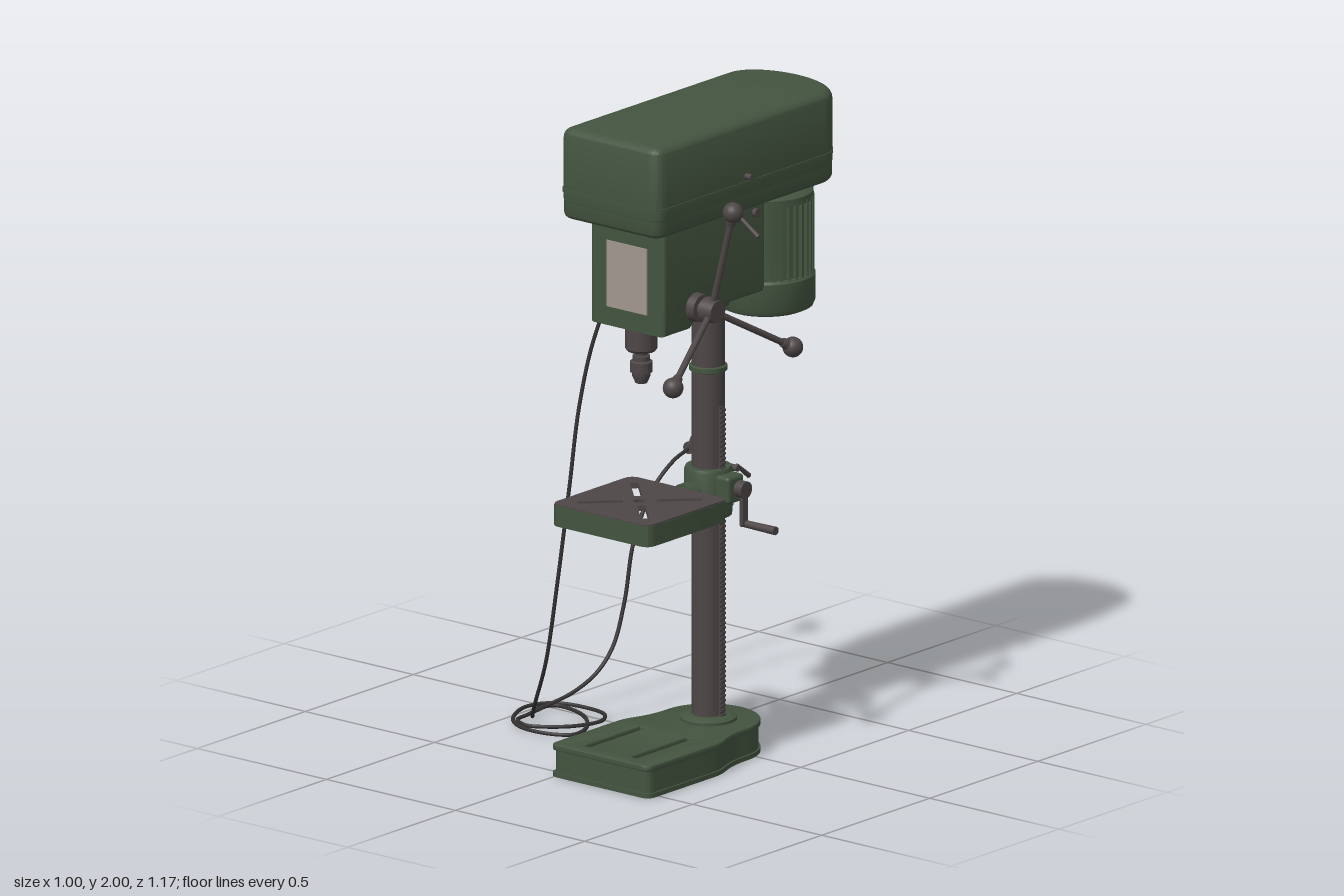
import * as THREE from 'three';
import { toCreasedNormals } from 'three/addons/utils/BufferGeometryUtils.js';
import { RoundedBoxGeometry } from 'three/addons/geometries/RoundedBoxGeometry.js';

const mat = (name, color) => Object.assign(new THREE.MeshStandardMaterial({ color }), { name });
const V = (x, y, z) => new THREE.Vector3(x, y, z);
const CX = 0.18; // machine centre line
const COL_Z = 0.045; // column axis

export function createModel() {
  const root = new THREE.Group();
  root.name = 'drillPress';
  const green = mat('green paint', 0x43543f);
  const steel = mat('dark steel', 0x4d4646);
  const rubber = mat('black rubber', 0x343131);
  const plateGrey = mat('label grey', 0xa1978f);

  const add = (name, geo, material, x = 0, y = 0, z = 0) => {
    const m = new THREE.Mesh(geo, material);
    m.name = name;
    m.position.set(x, y, z);
    root.add(m);
    return m;
  };
  const box = (name, material, w, h, d, x, y, z, r = 0) => add(name,
    r ? new RoundedBoxGeometry(w, h, d, 3, r) : new THREE.BoxGeometry(w, h, d), material, x, y, z);
  // cylinder between two points, r0 at the start and r1 at the end
  const rod = (name, material, a, b, r0, r1 = r0, sides = 24) => {
    const d = b.clone().sub(a);
    const m = add(name, new THREE.CylinderGeometry(r1, r0, d.length(), sides), material);
    m.position.copy(a).addScaledVector(d, 0.5);
    m.quaternion.setFromUnitVectors(V(0, 1, 0), d.normalize());
    return m;
  };
  // upright turned part from [radius, y] pairs
  const turned = (name, material, pts, z) => add(name, toCreasedNormals(
    new THREE.LatheGeometry(pts.map(p => new THREE.Vector2(...p)), 40), 0.6), material, CX, 0, z);
  // plan outline (x, z) extruded between two heights
  const slab = (name, material, shape, y0, y1, bevel = 0) => {
    const g = new THREE.ExtrudeGeometry(shape, {
      depth: y1 - y0 - 2 * bevel, bevelEnabled: bevel > 0, bevelSize: bevel,
      bevelThickness: bevel, bevelOffset: -bevel, bevelSegments: 5, curveSegments: 20,
    });
    g.rotateX(Math.PI / 2);
    return add(name, toCreasedNormals(g, 0.6), material, CX, y1 - bevel, 0);
  };
  const roundRect = (w, z0, z1, r, S = THREE.Shape) => {
    const s = new S();
    s.moveTo(-w, z0 + r).lineTo(-w, z1 - r).quadraticCurveTo(-w, z1, -w + r, z1)
      .lineTo(w - r, z1).quadraticCurveTo(w, z1, w, z1 - r)
      .lineTo(w, z0 + r).quadraticCurveTo(w, z0, w - r, z0)
      .lineTo(-w + r, z0).quadraticCurveTo(-w, z0, -w, z0 + r);
    return s;
  };
  const hole = pts => new THREE.Path(pts.map(p => new THREE.Vector2(...p)));

  // base with a round foot behind, lips and two slots
  const baseShape = (o = 0) => {
    const w = 0.192 - o, f = 0.55 - o, s = new THREE.Shape();
    s.moveTo(-w, 0.25).lineTo(-w, f - 0.03).quadraticCurveTo(-w, f, -w + 0.03, f)
      .lineTo(w - 0.03, f).quadraticCurveTo(w, f, w, f - 0.03).lineTo(w, 0.25)
      .bezierCurveTo(w, 0.17, 0.155 - o, 0.17, 0.155 - o, COL_Z)
      .absarc(0, COL_Z, 0.155 - o, 0, Math.PI, true)
      .bezierCurveTo(-0.155 + o, 0.17, -w, 0.17, -w, 0.25);
    return s;
  };
  slab('baseFoot', green, baseShape(), 0, 0.014);
  slab('baseBody', green, baseShape(0.006), 0.01, 0.085);
  const baseTop = baseShape();
  for (const x of [-0.09, 0.09]) {
    baseTop.holes.push(hole([[x - 0.012, 0.24], [x + 0.012, 0.24], [x + 0.012, 0.5], [x - 0.012, 0.5]]));
  }
  slab('baseTop', green, baseTop, 0.082, 0.1, 0.003);
  turned('columnFlange', green, [[0.085, 0.09], [0.085, 0.108], [0.068, 0.118], [0.05, 0.118]], COL_Z);

  // column and rack
  rod('column', steel, V(CX, 0.09, COL_Z), V(CX, 1.72, COL_Z), 0.05, 0.05, 40);
  box('rack', steel, 0.01, 0.97, 0.022, CX + 0.05, 0.59, COL_Z);
  for (let i = 0; i < 64; i++) box('rackTooth', steel, 0.008, 0.007, 0.022, CX + 0.056, 0.12 + i * 0.015, COL_Z);
  turned('rackRing', green, [[0.05, 1.18], [0.057, 1.183], [0.057, 1.197], [0.05, 1.2]], COL_Z);
  turned('columnSocket', green, [[0.05, 1.385], [0.062, 1.385], [0.065, 1.395], [0.065, 1.45]], COL_Z);

  // work table: green rim with an open underside, steel top with cross slots
  const rim = roundRect(0.19, 0.175, 0.55, 0.035);
  rim.holes.push(roundRect(0.174, 0.191, 0.534, 0.025, THREE.Path));
  slab('tableRim', green, rim, 0.778, 0.842);
  const tableTop = roundRect(0.188, 0.177, 0.548, 0.034), tz = 0.3625;
  for (let i = 0; i < 4; i++) {
    const a = Math.PI / 4 + i * Math.PI / 2, c = Math.cos(a), s = Math.sin(a), w = 0.012;
    tableTop.holes.push(hole([[0.05, -w], [0.185, -w], [0.185, w], [0.05, w]]
      .map(([u, v]) => [u * c - v * s, tz + u * s + v * c])));
  }
  tableTop.holes.push(new THREE.Path().absarc(0, tz, 0.018, 0, Math.PI * 2));
  slab('tableTop', steel, tableTop, 0.83, 0.846);
  rod('tablePivot', green, V(CX, 0.81, 0.09), V(CX, 0.81, 0.19), 0.034);
  rod('tablePivotFlange', green, V(CX, 0.81, 0.135), V(CX, 0.81, 0.165), 0.042);

  // table bracket, crank and clamp lever
  turned('bracket', green, [[0.05, 0.735], [0.07, 0.735], [0.072, 0.745], [0.072, 0.875], [0.068, 0.885], [0.05, 0.885]], COL_Z);
  box('bracketClamp', green, 0.06, 0.13, 0.05, CX, 0.81, -0.015, 0.006);
  box('gearHousing', green, 0.07, 0.085, 0.075, CX + 0.075, 0.83, COL_Z, 0.012);
  rod('crankShaft', steel, V(0.26, 0.835, COL_Z), V(0.325, 0.835, COL_Z), 0.014);
  rod('crankHub', steel, V(0.3, 0.835, COL_Z), V(0.328, 0.835, COL_Z), 0.026);
  box('crankArm', steel, 0.014, 0.12, 0.03, 0.315, 0.78, 0.042, 0.006);
  rod('crankHandle', steel, V(0.305, 0.727, 0.037), V(0.435, 0.727, 0.037), 0.011, 0.013);
  rod('clampBolt', steel, V(0.12, 0.87, -0.022), V(0.24, 0.87, -0.022), 0.01);
  rod('clampLever', steel, V(0.235, 0.88, -0.02), V(0.235, 0.835, -0.077), 0.006, 0.008);

  // head casting, extruded across from its side profile
  const side = new THREE.Shape([[-0.42, 1.73], [-0.42, 1.39], [-0.295, 1.39], [-0.25, 1.43],
    [0.045, 1.43], [0.05, 1.45], [0.05, 1.73]].map(p => new THREE.Vector2(...p)));
  const headGeo = new THREE.ExtrudeGeometry(side, { depth: 0.261, bevelSize: 0.012, bevelThickness: 0.012, bevelOffset: -0.012, bevelSegments: 4 });
  headGeo.rotateY(Math.PI / 2);
  add('head', toCreasedNormals(headGeo, 0.6), green, 0.049, 0, 0);
  box('labelPlate', plateGrey, 0.155, 0.205, 0.006, CX, 1.552, 0.421);

  // belt cover with rounded rear
  const coverShape = (o = 0) => {
    const w = 0.195 - o, f = 0.51 - o, b = -0.395 + o, r = 0.045, s = new THREE.Shape();
    s.moveTo(-w, -0.26).lineTo(-w, f - r).quadraticCurveTo(-w, f, -w + r, f)
      .lineTo(w - r, f).quadraticCurveTo(w, f, w, f - r).lineTo(w, -0.26)
      .bezierCurveTo(w, -0.35, 0.09, b, 0, b).bezierCurveTo(-0.09, b, -w, -0.35, -w, -0.26);
    return s;
  };
  slab('coverLid', green, coverShape(0.002), 1.75, 2.0, 0.03);
  slab('coverTray', green, coverShape(0.003), 1.72, 1.85, 0.02);
  slab('coverSeam', green, coverShape(-0.001), 1.803, 1.814);
  rod('coverKnob', steel, V(0.37, 1.83, 0.1), V(0.396, 1.83, 0.1), 0.009);

  // motor with cooling fins
  const mz = -0.22;
  turned('motorCore', green, [[0, 1.4], [0.13, 1.4], [0.13, 1.67], [0.115, 1.69], [0, 1.69]], mz);
  turned('motorCap', green, [[0, 1.32], [0.125, 1.32], [0.142, 1.328], [0.149, 1.345], [0.149, 1.425], [0.143, 1.432], [0.1, 1.432]], mz);
  turned('motorTopFlange', green, [[0.125, 1.655], [0.143, 1.66], [0.143, 1.682], [0.13, 1.69], [0.1, 1.69]], mz);
  rod('motorShaft', steel, V(CX, 1.68, mz), V(CX, 1.74, mz), 0.03);
  for (let i = 0; i < 36; i++) {
    const a = i / 36 * Math.PI * 2;
    box('motorFin', green, 0.007, 0.235, 0.024, CX + Math.sin(a) * 0.133, 1.55, mz + Math.cos(a) * 0.133).rotation.y = a;
  }
  box('motorRearPad', green, 0.1, 0.23, 0.02, CX, 1.565, -0.375, 0.005);
  for (const y of [1.5, 1.63]) box('motorMount', green, 0.15, 0.035, 0.06, CX, y, -0.065, 0.004);
  box('terminalBox', green, 0.05, 0.12, 0.1, 0.035, 1.56, mz, 0.01);

  // switch and return spring cap
  box('switchPlate', steel, 0.028, 0.15, 0.085, 0.024, 1.63, 0.27, 0.006);
  for (const [y, m] of [[1.665, green], [1.6, plateGrey]]) box('switchButton', m, 0.008, 0.04, 0.04, 0.009, y, 0.27);
  rod('springCap', steel, V(0.04, 1.455, 0.275), V(-0.01, 1.455, 0.275), 0.05, 0.045, 32);
  rod('springNut', steel, V(0, 1.455, 0.275), V(-0.022, 1.455, 0.275), 0.018, 0.018, 6);

  // feed hub with three ball handles
  const hub = V(0.385, 1.455, 0.275);
  rod('feedBoss', steel, V(0.315, 1.455, 0.275), V(0.35, 1.455, 0.275), 0.045, 0.042, 32);
  rod('feedShaft', steel, V(0.34, 1.455, 0.275), V(0.38, 1.455, 0.275), 0.026);
  rod('feedHub', steel, V(0.365, 1.455, 0.275), V(0.41, 1.455, 0.275), 0.04, 0.034, 32);
  for (let i = 0; i < 3; i++) {
    const a = i * Math.PI * 2 / 3;
    const end = V(0.468, 1.455 + 0.32 * Math.cos(a), 0.275 + 0.32 * Math.sin(a));
    rod('feedHandle', steel, hub, end, 0.01, 0.01, 16);
    rod('feedHandleNeck', steel, hub.clone().lerp(end, 0.87), end, 0.014, 0.022, 16);
    add('feedKnob', new THREE.SphereGeometry(0.031, 24, 16), steel, end.x, end.y, end.z);
  }

  // belt tension levers
  rod('tensionLever', steel, V(0.31, 1.7, 0.075), V(0.4, 1.64, 0.075), 0.006, 0.007, 12);
  for (const z of [0, 0.075]) rod('tensionBoss', steel, V(0.31, 1.685, z), V(0.335, 1.685, z), 0.013);

  // quill, spindle and chuck
  turned('quill', steel, [[0, 1.312], [0.042, 1.312], [0.048, 1.32], [0.048, 1.4]], 0.355);
  turned('chuck', steel, [[0, 1.212], [0.018, 1.212], [0.028, 1.235], [0.028, 1.245], [0.034, 1.247],
    [0.034, 1.278], [0.026, 1.282], [0.026, 1.296], [0.018, 1.298], [0.018, 1.32]], 0.355);

  // power cord: down from the head, two coils on the floor, up to the plug
  const cord = (name, pts, n) => add(name, new THREE.TubeGeometry(
    new THREE.CatmullRomCurve3(pts.map(p => V(...p))), n, 0.006, 8), rubber);
  const floor = [[-0.43, 0.13], [-0.475, 0.06], [-0.45, 0], [-0.385, 0], [-0.3, 0.04], [-0.225, 0.13],
    [-0.217, 0.2], [-0.28, 0.238], [-0.38, 0.238], [-0.46, 0.185], [-0.497, 0.08], [-0.46, 0], [-0.37, -0.026],
    [-0.27, -0.01], [-0.23, 0.05], [-0.25, 0.13], [-0.3, 0.19], [-0.37, 0.228], [-0.43, 0.2], [-0.44, 0.14]];
  cord('powerCord', [
    [0.04, 1.48, 0.17], [0, 1.47, 0.17], [-0.065, 1.42, 0.18], [-0.13, 1.26, 0.2], [-0.16, 1.05, 0.235],
    [-0.17, 0.8, 0.27], [-0.2, 0.5, 0.29], [-0.255, 0.25, 0.275], [-0.35, 0.08, 0.215],
    ...floor.map(([x, z], i) => [x, 0.008 + (i > 9 ? 0.006 : 0), z]),
    [-0.425, 0.03, 0.05], [-0.4, 0.055, -0.03], [-0.38, 0.1, -0.11], [-0.365, 0.17, -0.165], [-0.358, 0.3, -0.21],
    [-0.355, 0.48, -0.25], [-0.35, 0.62, -0.33], [-0.345, 0.69, -0.42], [-0.343, 0.713, -0.49]], 400);
  cord('motorCord', [[0.03, 1.53, -0.18], [-0.01, 1.52, -0.08], [-0.055, 1.47, -0.02], [-0.066, 1.45, 0.02],
    [-0.04, 1.46, 0.08], [0.04, 1.49, 0.13]], 50);
  const plug = (z0, z1, r0, r1) => rod('plugBody', steel, V(-0.343, 0.715, z0), V(-0.343, 0.715, z1), r0, r1);
  plug(-0.485, -0.51, 0.018, 0.02);
  plug(-0.51, -0.535, 0.02, 0.036);
  plug(-0.535, -0.548, 0.036, 0.036);
  for (const [x, y] of [[-0.018, -0.008], [0.018, -0.008], [0, 0.014]]) {
    box('plugProng', steel, 0.008, 0.01, 0.04, -0.343 + x, 0.715 + y, -0.563);
  }
  return root;
}
